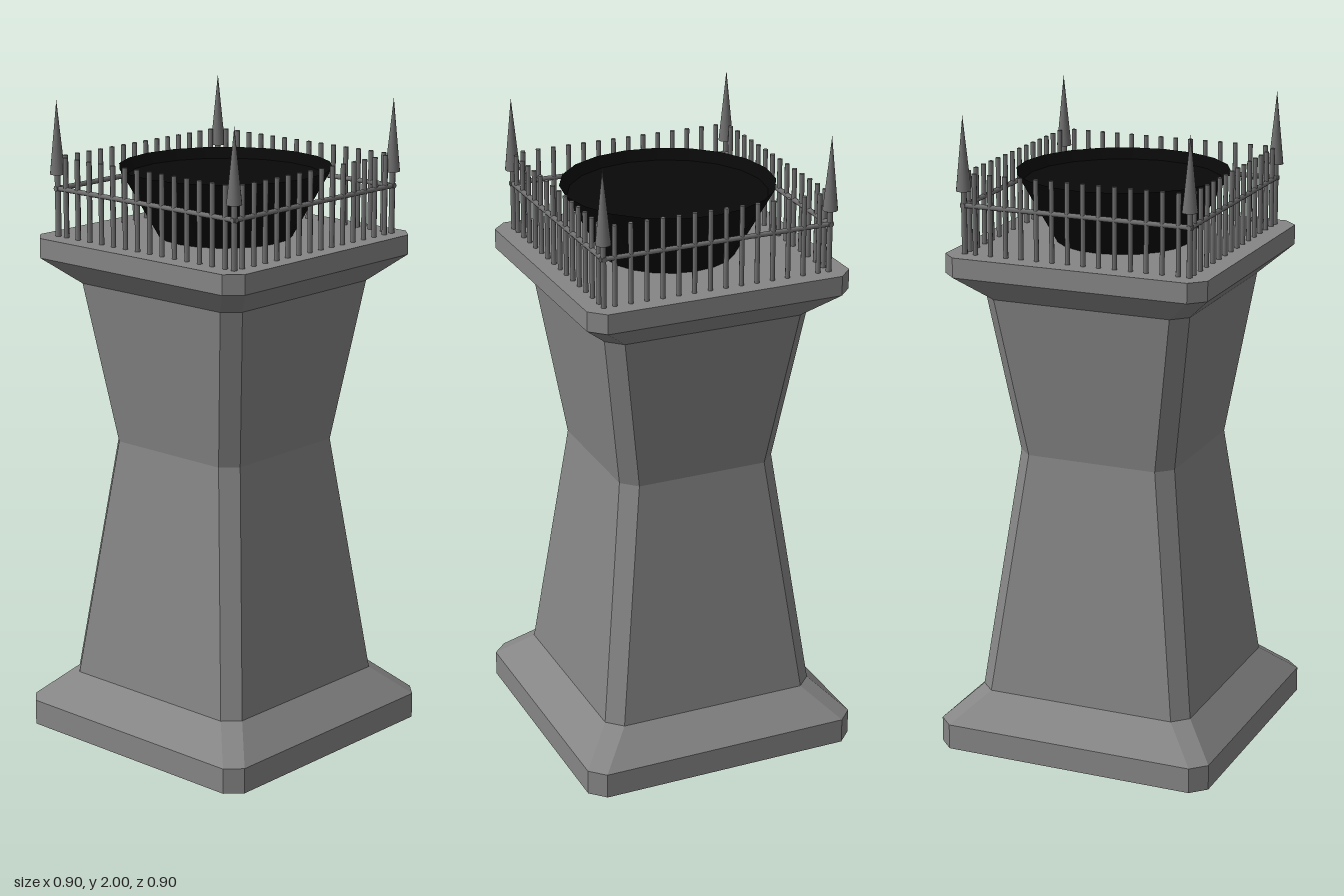
import * as THREE from 'three';

const stone = new THREE.MeshStandardMaterial({ color: 0x858585, flatShading: true });
const iron = new THREE.MeshStandardMaterial({ color: 0x707070 });
const coal = new THREE.MeshStandardMaterial({ color: 0x080808, flatShading: true });

// Square cross-section with cut corners
function section(half, y, cut = 0.046) {
  const k = half - cut;
  return [[half, -k], [half, k], [k, half], [-k, half], [-half, k], [-half, -k], [-k, -half], [k, -half]]
    .map(([x, z]) => [x, y, z]);
}

// Skin a stack of [half width, height] levels and close both ends
function loft(levels) {
  const rings = levels.map(([half, y]) => section(half, y));
  const pos = [];
  const tri = (...corners) => corners.forEach((p) => pos.push(...p));
  const top = rings[rings.length - 1];
  for (let i = 0; i < 8; i++) {
    const j = (i + 1) % 8;
    for (let r = 0; r < rings.length - 1; r++) {
      const lo = rings[r], hi = rings[r + 1];
      tri(lo[i], hi[i], lo[j]);
      tri(lo[j], hi[i], hi[j]);
    }
    tri([0, rings[0][0][1], 0], rings[0][i], rings[0][j]);
    tri([0, top[0][1], 0], top[j], top[i]);
  }
  const geo = new THREE.BufferGeometry();
  geo.setAttribute('position', new THREE.Float32BufferAttribute(pos, 3));
  geo.computeVertexNormals();
  return geo;
}

function add(parent, name, geo, mat, x = 0, y = 0, z = 0) {
  const mesh = new THREE.Mesh(geo, mat);
  mesh.name = name;
  mesh.position.set(x, y, z);
  parent.add(mesh);
}

export function createModel() {
  const model = new THREE.Group();
  model.name = 'brazierTower';
  const deck = 1.583, edge = 0.36, offset = 0.003;

  // Stone pedestal: plinth, waisted shaft, flared platform
  add(model, 'plinth', loft([[0.45, 0], [0.45, 0.08], [0.35, 0.175]]), stone);
  add(model, 'shaft', loft([[0.35, 0.175], [0.255, 0.938], [0.33, 1.442]]), stone);
  add(model, 'platform', loft([[0.33, 1.442], [0.42, 1.522], [0.42, deck]]), stone);

  // Dark fire bowl with a sharp lip and a shallow recess
  const profile = [[0, deck], [0.205, deck], [0.326, 1.797], [0.303, 1.765], [0, 1.765]]
    .map(([r, y]) => new THREE.Vector2(r, y));
  add(model, 'fireBowl', new THREE.LatheGeometry(profile, 20), coal, offset, 0, offset);

  // Iron railing: one side repeated around the platform
  const barTop = 1.828, postTop = 1.78, spikeBase = 1.774;
  const barGeo = new THREE.CylinderGeometry(0.0078, 0.0078, barTop - deck, 8);
  const railGeo = new THREE.CylinderGeometry(0.008, 0.008, 0.74, 8).rotateZ(Math.PI / 2);
  const postGeo = new THREE.CylinderGeometry(0.009, 0.009, postTop - deck, 8);
  const spikeGeo = new THREE.ConeGeometry(0.023, 2 - spikeBase, 16);
  const railing = new THREE.Group();
  railing.name = 'railing';
  railing.position.set(offset, 0, offset);
  model.add(railing);
  for (let s = 0; s < 4; s++) {
    const side = new THREE.Group();
    side.name = 'railingSide';
    side.rotation.y = s * Math.PI / 2;
    add(side, 'rail', railGeo, iron, 0, 1.73, edge);
    for (let i = 0; i < 14; i++) {
      add(side, 'bar', barGeo, iron, -0.325 + i * 0.05, (deck + barTop) / 2, edge);
    }
    add(side, 'cornerPost', postGeo, iron, edge, (deck + postTop) / 2, edge);
    add(side, 'cornerSpike', spikeGeo, iron, edge, (spikeBase + 2) / 2, edge);
    railing.add(side);
  }
  return model;
}
